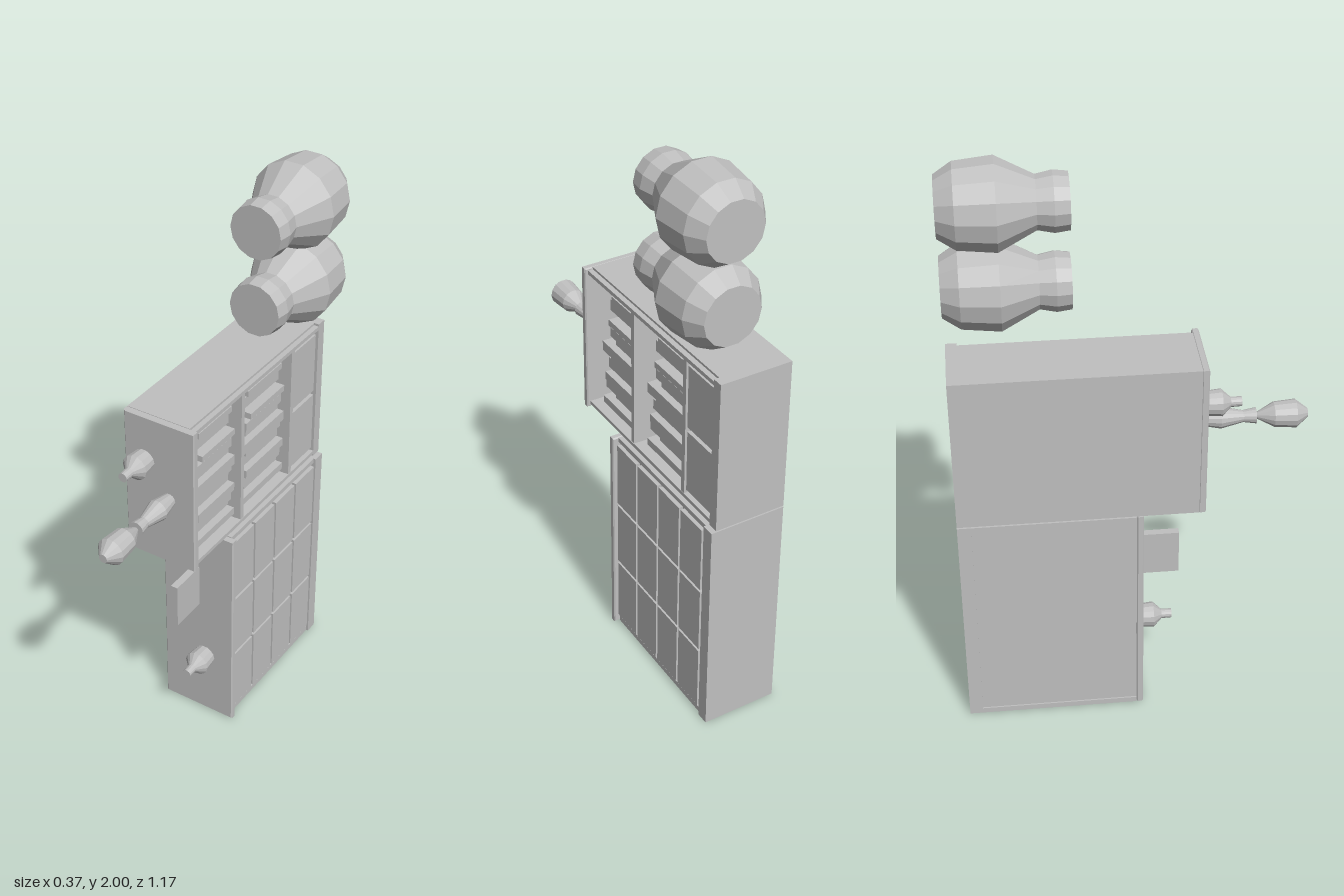
import * as THREE from 'three';

const grey = new THREE.MeshStandardMaterial({ color: 0xc0c0c0 });
grey.name = 'plain grey';

// Box given by its lower and upper limits on each axis
function box(parent, name, x0, x1, y0, y1, z0, z1) {
  const mesh = new THREE.Mesh(new THREE.BoxGeometry(x1 - x0, y1 - y0, z1 - z0), grey);
  mesh.position.set((x0 + x1) / 2, (y0 + y1) / 2, (z0 + z1) / 2);
  mesh.name = name;
  parent.add(mesh);
  return mesh;
}

// Slab lying across z with small bevelled edges
function board(parent, name, x0, x1, y0, y1, z0, z1) {
  const b = 0.004;
  const s = new THREE.Shape();
  s.moveTo(x0 + b, y0 + b);
  s.lineTo(x1 - b, y0 + b);
  s.lineTo(x1 - b, y1 - b);
  s.lineTo(x0 + b, y1 - b);
  s.closePath();
  const geo = new THREE.ExtrudeGeometry(s, {
    depth: z1 - z0 - 2 * b, bevelEnabled: true, bevelThickness: b, bevelSize: b, bevelSegments: 1,
  });
  geo.translate(0, 0, z0 + b);
  const mesh = new THREE.Mesh(geo, grey);
  mesh.name = name;
  parent.add(mesh);
}

// Faceted turned part; profile is [radius, z] running from back to front
function turned(parent, name, profile, x, y, z = 0, sides = 14) {
  const first = profile[0], last = profile[profile.length - 1];
  const pts = [[0, first[1]], ...profile, [0, last[1]]].map(([r, h]) => new THREE.Vector2(r, h));
  let geo = new THREE.LatheGeometry(pts, sides, Math.PI / 2);
  geo.rotateX(Math.PI / 2);
  geo = geo.toNonIndexed();
  geo.computeVertexNormals();
  const mesh = new THREE.Mesh(geo, grey);
  mesh.position.set(x, y, z);
  mesh.name = name;
  parent.add(mesh);
}

function lowerCabinet() {
  const g = new THREE.Group();
  g.name = 'lowerCabinet';
  box(g, 'lowerBody', -0.18, 0.068, 0.012, 0.8, -0.58, 0.003);
  box(g, 'lowerBase', -0.185, 0.076, 0, 0.02, -0.585, 0.003);
  box(g, 'lowerTop', -0.185, 0.076, 0.795, 0.812, -0.585, 0.003);
  box(g, 'lowerBackPost', -0.185, 0.084, 0, 0.812, -0.585, -0.54);
  board(g, 'lowerFrontBoard', -0.185, 0.097, 0, 0.813, 0.003, 0.026);
  // Grid of drawer fronts on the side
  for (let col = 0; col < 4; col++) {
    const z1 = -0.003 - col * 0.134;
    for (let row = 0; row < 3; row++) {
      const y0 = 0.035 + row * 0.254;
      box(g, 'lowerDrawer', 0.06, 0.084, y0, y0 + 0.243, z1 - 0.124, z1);
    }
  }
  box(g, 'frontPlate', -0.066, -0.04, 0.483, 0.647, 0.02, 0.16);
  return g;
}

function upperCabinet() {
  const g = new THREE.Group();
  g.name = 'upperCabinet';
  // Hollow carcass, open on the drawer side
  box(g, 'upperBack', -0.185, -0.165, 0.817, 1.36, -0.585, 0.208);
  for (const [y0, y1, lip] of [[0.817, 0.838, 0.825], [1.338, 1.36, 1.338]]) {
    box(g, 'upperWall', -0.17, 0.05, y0, y1, -0.585, 0.208);
    box(g, 'upperWallTrim', 0.05, 0.068, lip, lip + 0.014, -0.585, 0.208);
  }
  box(g, 'upperBackPost', -0.17, 0.068, 0.817, 1.36, -0.585, -0.548);
  box(g, 'shelfDivider', -0.17, 0.066, 0.83, 1.345, -0.085, -0.067);
  box(g, 'shelfDivider', -0.17, 0.066, 0.83, 1.345, -0.395, -0.377);
  board(g, 'upperFrontBoard', -0.185, 0.08, 0.817, 1.36, 0.206, 0.23);

  // Books: thickness range along y and height along z
  const books = [
    [1.305, 0.038, 0.235], [1.262, 0.022, 0.19], [1.215, 0.04, 0.22], [1.178, 0.022, 0.19],
    [1.128, 0.034, 0.2], [1.098, 0.02, 0.185], [1.06, 0.036, 0.232], [1.03, 0.022, 0.2],
    [0.985, 0.038, 0.235], [0.953, 0.03, 0.215], [0.91, 0.036, 0.232], [0.884, 0.02, 0.19],
    [0.853, 0.026, 0.23],
  ];
  for (const base of [-0.067, -0.377]) {
    books.forEach(([y, t, h], i) => {
      const high = base < -0.2 ? h + 0.02 : h;
      box(g, 'book', -0.14, 0.04 - (i % 3) * 0.012, y, y + t, base, base + high);
    });
  }

  // Pair of drawers at the far end
  box(g, 'upperDrawerCase', -0.17, 0.048, 0.83, 1.345, -0.55, -0.39);
  box(g, 'upperDrawer', 0.04, 0.062, 0.855, 1.08, -0.541, -0.401);
  box(g, 'upperDrawer', 0.04, 0.062, 1.097, 1.322, -0.541, -0.401);
  return g;
}

export function createModel() {
  const root = new THREE.Group();
  root.name = 'cabinetWithVases';
  root.add(lowerCabinet(), upperCabinet());

  // Small knobs on the front boards
  const knob = [[0.038, -0.01], [0.04, 0], [0.045, 0.053], [0.017, 0.082], [0.016, 0.118]];
  turned(root, 'lowerKnob', knob, -0.018, 0.255, 0.026);
  turned(root, 'upperKnob', knob, -0.111, 1.194, 0.228);

  // Long ornament: waisted stem and bulb
  turned(root, 'ornamentStem',
    [[0.022, 0.22], [0.037, 0.295], [0.02, 0.37], [0.027, 0.413]], -0.017, 1.074);
  turned(root, 'ornamentBulb',
    [[0.008, 0.41], [0.042, 0.472], [0.048, 0.545], [0.015, 0.585]], -0.017, 1.074);

  // Two stacked vases lying on their sides
  const vase = [[0.098, -0.586], [0.136, -0.528], [0.149, -0.404], [0.086, -0.283],
    [0.097, -0.23], [0.091, -0.182]];
  for (const y of [1.583, 1.855]) turned(root, 'vase', vase, 0.035, y);
  return root;
}
